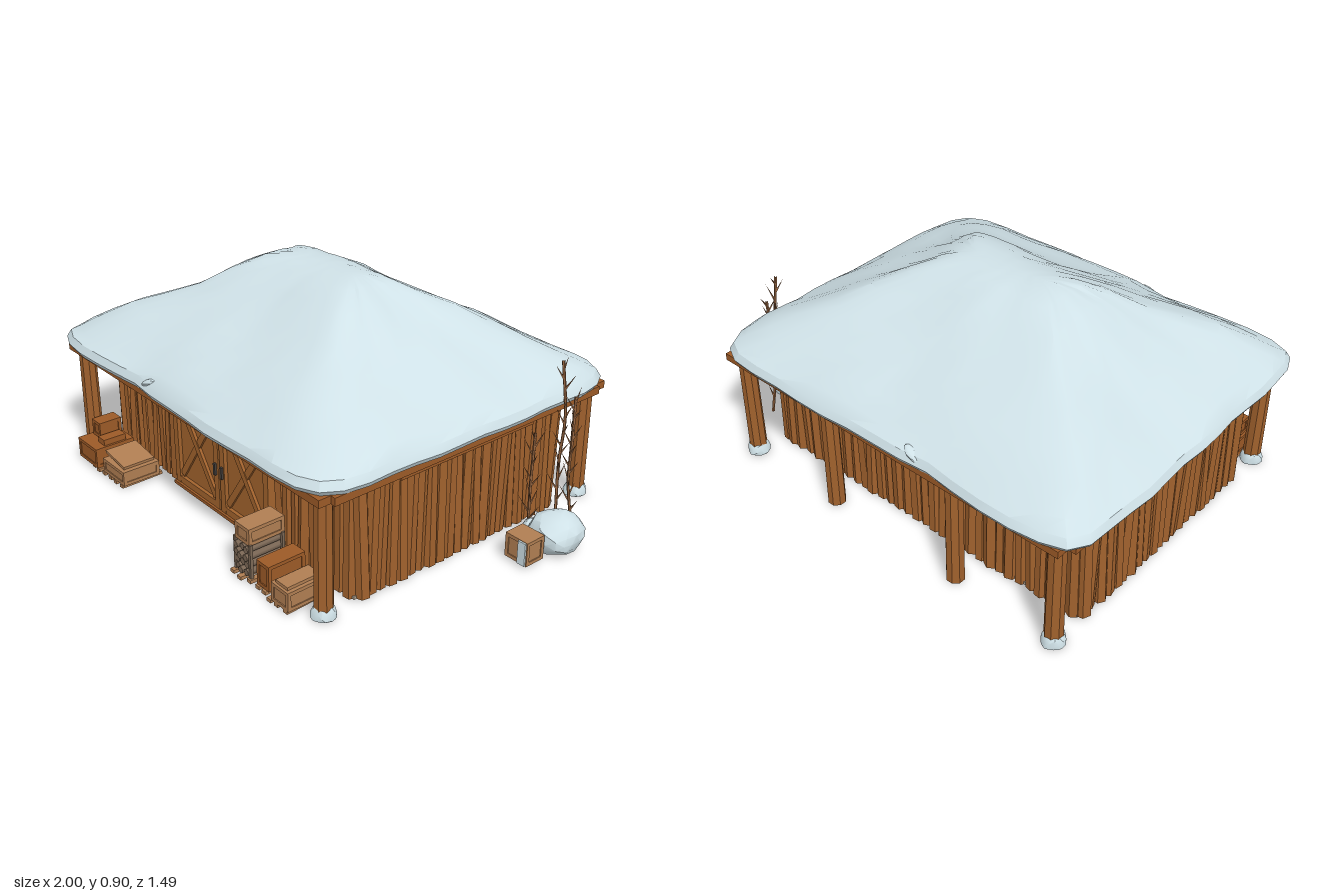
import * as THREE from 'three';
import { toCreasedNormals } from 'three/addons/utils/BufferGeometryUtils.js';

const mat = (name, color) => {
  const m = new THREE.MeshStandardMaterial({ color });
  m.name = name;
  return m;
};

export function createModel() {
  const snow = mat('snow', 0xcfe1e7);
  const wood = mat('wallWood', 0xa0612d);
  const doorWood = mat('doorWood', 0xa2632d);
  const beamWood = mat('beamWood', 0x9c5a27);
  const tan = mat('crateWood', 0xb07e52);
  const bark = mat('bark', 0x7c6856);
  const floorMat = mat('floor', 0xb2a28f);
  const twigMat = mat('twig', 0x946440);
  const iron = mat('iron', 0x45403c);
  wood.flatShading = twigMat.flatShading = true;

  const root = new THREE.Group();
  let seed = 7;
  const rnd = (a = 0, b = 1) => {
    seed = (seed * 16807) % 2147483647;
    return a + (b - a) * (seed / 2147483647);
  };
  const group = (name, parent = root) => {
    const g = new THREE.Group();
    g.name = name;
    parent.add(g);
    return g;
  };
  const add = (parent, name, geo, m, x = 0, y = 0, z = 0) => {
    const mesh = new THREE.Mesh(geo, m);
    mesh.name = name;
    mesh.position.set(x, y, z);
    parent.add(mesh);
    return mesh;
  };
  // Box given by its lower and upper corners
  const box = (parent, name, m, x0, x1, y0, y1, z0, z1) =>
    add(parent, name, new THREE.BoxGeometry(x1 - x0, y1 - y0, z1 - z0), m, (x0 + x1) / 2, (y0 + y1) / 2, (z0 + z1) / 2);

  // Snow roof: rounded rectangular rings from the ridge out, round the rim and back underneath
  const profile = [[0, .9], [.08, .896], [.16, .88], [.28, .833], [.42, .768], [.56, .712], [.7, .66], [.83, .61],
    [.93, .565], [.98, .54], [1, .51], [.985, .49], [.95, .482], [.86, .488], [0, .492]];
  const N = 56, pos = [], idx = [];
  profile.forEach(([t, y], j) => {
    for (let i = 0; i < N; i++) {
      const s = (i / N) * 4, side = Math.floor(s), f = (s - side) * 2 - 1;
      let [u, v] = [[1, f], [-f, 1], [-1, -f], [f, -1]][side];
      const k = Math.pow(Math.abs(u) ** 12 + Math.abs(v) ** 12, -1 / 12);
      u *= k; v *= k;
      const rim = 1 + .012 * t * Math.sin(u * 9 + v * 5) * Math.sin(v * 8 - u * 4 + 1);
      const x = -.11 + (1 - t) * .15 * u + t * .885 * u * rim;
      // Small gap in the snow at the front and back rim
      const notch = Math.abs(v) > .9 && t > .9 ? .03 * Math.exp(-(((x + .31) / .06) ** 2)) : 0;
      const z = t * .735 * v * rim - Math.sign(v) * notch;
      const bump = j < 9 ? (.012 * Math.sin(x * 9 + z * 4) * Math.sin(z * 11 - x * 3) + rnd(-.005, .005)) * Math.min(1, t * 4) : 0;
      pos.push(x, y + bump, z);
      if (j < profile.length - 1) {
        const a = j * N + i, d = j * N + (i + 1) % N, b = a + N, c = d + N;
        idx.push(a, c, b, a, d, c);
      }
    }
  });
  const roof = new THREE.BufferGeometry();
  roof.setAttribute('position', new THREE.Float32BufferAttribute(pos, 3));
  roof.setIndex(idx);
  add(root, 'snowRoof', toCreasedNormals(roof, .5), snow);

  // Rounded lump of snow with an uneven surface and a flat base
  const lump = (parent, name, x, y, z, rx, ry, rz) => {
    const g = new THREE.IcosahedronGeometry(1, 2), p = g.attributes.position;
    for (let i = 0; i < p.count; i++) {
      const a = p.getX(i), b = p.getY(i), c = p.getZ(i);
      const r = 1 + .07 * Math.sin(a * 4 + b * 3 + x * 9) * Math.cos(c * 4 - b * 2);
      p.setXYZ(i, a * r * rx, Math.max(b * r * ry, -y), c * r * rz);
    }
    return add(parent, name, toCreasedNormals(g, .45), snow, x, y, z);
  };
  for (const s of [-1, 1]) lump(root, 'rimSnow', -.29, .53, s * .695, .05, .015, .025).rotation.z = .45;

  // Frame under the roof edge
  const frame = group('roofFrame');
  for (const s of [-1, 1]) {
    const z = s * .655, x = -.1 + s * .79;
    box(frame, 'longBeam', beamWood, -.92, .73, .46, .49, z - .05, z + .045);
    box(frame, 'crossBeam', beamWood, x - .06, x + .06, .458, .489, -.65, .65);
  }
  box(frame, 'sideLintel', beamWood, .69, .735, .437, .46, -.3, .35);
  box(frame, 'backLintel', beamWood, -.46, .25, .435, .46, -.67, -.62);

  // Posts, with snow heaped at the corners
  const posts = group('posts');
  const post = (x, z, top) => {
    const m = add(posts, 'post', new THREE.CylinderGeometry(.034, .036, top, 8), wood, x, top / 2, z);
    m.rotation.y = Math.PI / 8;
  };
  for (const z of [-.645, .645]) for (const x of [-.873, .683]) {
    post(x, z, .47);
    lump(posts, 'postSnow', x, .004, z, .046, .058, .046);
  }
  for (const x of [-.42, .21]) post(x, -.645, .45);

  // Walls: a core with a row of uneven split logs on each side
  const walls = group('walls');
  box(walls, 'floor', floorMat, -.87, .68, 0, .012, -.51, .51);
  box(walls, 'wallCore', wood, -.855, .665, .012, .485, -.49, .49);
  const logRow = (x0, z0, x1, z1) => {
    const len = Math.hypot(x1 - x0, z1 - z0), n = Math.round(len / .046);
    for (let i = 0; i < n; i++) {
      const t = (i + .5) / n, r = rnd(.025, .033);
      const log = add(walls, 'wallLog', new THREE.CylinderGeometry(r * rnd(.8, 1), r, .475, 6), wood,
        x0 + (x1 - x0) * t, .2375, z0 + (z1 - z0) * t);
      log.rotation.set(rnd(-.02, .02), rnd(0, 1), rnd(-.025, .025));
    }
  };
  logRow(-.865, -.5, .675, -.5);
  logRow(-.865, -.5, -.865, .5);
  logRow(.675, -.5, .675, .5);
  logRow(-.865, .5, -.41, .5);
  logRow(.24, .5, .675, .5);

  // Double barn door with frames, cross braces and handles
  const doors = group('doors');
  box(doors, 'doorLintel', beamWood, -.42, .26, .44, .468, .5, .56);
  box(doors, 'doorSill', beamWood, -.4, .24, 0, .014, .49, .55);
  for (const s of [-1, 1]) {
    const leaf = group(s < 0 ? 'rightDoor' : 'leftDoor', doors);
    leaf.position.set(-.08 + s * .16, .225, .525);
    box(leaf, 'doorPanel', doorWood, -.155, .155, -.22, .22, -.03, 0);
    for (const k of [-1, 1]) {
      box(leaf, 'doorStile', doorWood, k * .14 - .015, k * .14 + .015, -.22, .22, 0, .016);
      box(leaf, 'doorRail', doorWood, -.125, .125, k * .2 - .018, k * .2 + .018, 0, .015);
      const brace = box(leaf, 'doorBrace', doorWood, -.21, .21, -.014, .014, 0, k > 0 ? .009 : .012);
      brace.rotation.z = k * Math.atan2(.36, .25);
    }
    box(leaf, 'doorHandle', iron, -s * .138 - .006, -s * .138 + .006, -.06, -.01, .016, .025);
  }

  // Crates: a box with slightly proud boards at its edges
  const goods = group('goods');
  const crate = (x0, x1, y0, y1, z0, z1, m = beamWood) => {
    const c = group('crate', goods), e = .004, w = .014;
    box(c, 'crateBody', m, x0 + e, x1 - e, y0, y1 - e, z0 + e, z1 - e);
    for (const [a, b] of [[y0, y0 + w], [y1 - w, y1]]) box(c, 'crateBand', m, x0, x1, a, b, z0, z1);
    for (const x of [x0, x1 - w]) for (const z of [z0, z1 - w]) box(c, 'crateCorner', m, x, x + w, y0, y1, z, z + w);
  };
  const pallet = (x0, x1) => {
    const n = Math.round((x1 - x0) / .045);
    for (let i = 0; i < n; i++) {
      const x = x0 + (x1 - x0) * i / n;
      const slat = box(goods, 'palletSlat', tan, x, x + .022, 0, .014, .55, .735 + rnd(-.01, .01));
      slat.rotation.y = rnd(-.06, .06);
    }
  };
  pallet(-.83, -.47);
  pallet(.27, .62);
  crate(-.83, -.68, .014, .1, .57, .745);
  crate(-.82, -.755, .1, .17, .58, .68);
  crate(-.74, -.69, .1, .125, .6, .7);
  crate(-.645, -.48, .014, .075, .57, .735, tan);
  box(goods, 'leaningLid', tan, -.645, -.5, .085, .097, .58, .72).rotation.z = -.14;
  crate(.405, .475, .014, .115, .56, .72);
  crate(.515, .61, .014, .09, .58, .74, tan);
  box(goods, 'crateLid', tan, .53, .595, .09, .102, .59, .73);

  // Rack of stacked firewood with a crate on top
  const rack = group('firewoodRack', goods);
  for (const x of [.27, .36]) for (const z of [.57, .71]) box(rack, 'rackPost', bark, x, x + .012, .014, .15, z, z + .012);
  for (let r = 0; r < 4; r++) for (let i = 0; i < 3; i++) {
    const log = add(rack, 'firewood', new THREE.CylinderGeometry(.014, .015, rnd(.15, .18), 6), bark,
      .293 + i * .028, .032 + r * .031, .645);
    log.rotation.x = Math.PI / 2;
  }
  crate(.28, .365, .145, .212, .565, .72, tan);

  // Snowy boulders and a half-covered crate beside the hut
  const yard = group('yard');
  lump(yard, 'boulder', .9, .065, -.275, .1, .083, .105);
  lump(yard, 'smallBoulder', .805, .03, -.265, .05, .05, .05);
  crate(.83, .935, .012, .11, -.17, -.08, tan);
  box(yard, 'crateSnow', snow, .895, .93, .014, .108, -.08, -.073);

  // Bare saplings: a curved stem with short upward twigs
  const sapling = (points, twigs) => {
    const g = group('sapling', yard);
    const curve = new THREE.CatmullRomCurve3(points.map(p => new THREE.Vector3(...p)));
    add(g, 'stem', new THREE.TubeGeometry(curve, 12, .006, 5), twigMat);
    const up = new THREE.Vector3(0, 1, 0);
    for (let i = 0; i < twigs; i++) {
      const p = curve.getPoint(.12 + .88 * i / twigs), a = i * 2.4, l = rnd(.05, .09);
      const dir = new THREE.Vector3(Math.cos(a) * .6, 1, Math.sin(a) * .6).normalize();
      const geo = new THREE.ConeGeometry(.005, l, 4).translate(0, l / 2, 0);
      const m = add(g, 'twig', geo, twigMat, p.x, p.y, p.z);
      m.quaternion.setFromUnitVectors(up, dir);
    }
  };
  sapling([[.84, 0, -.44], [.83, .2, -.41], [.84, .38, -.4], [.83, .55, -.41]], 16);
  sapling([[.8, .02, -.39], [.77, .25, -.42], [.79, .45, -.41], [.775, .68, -.39]], 16);
  sapling([[.755, 0, -.29], [.76, .2, -.28], [.765, .42, -.28]], 12);
  return root;
}
